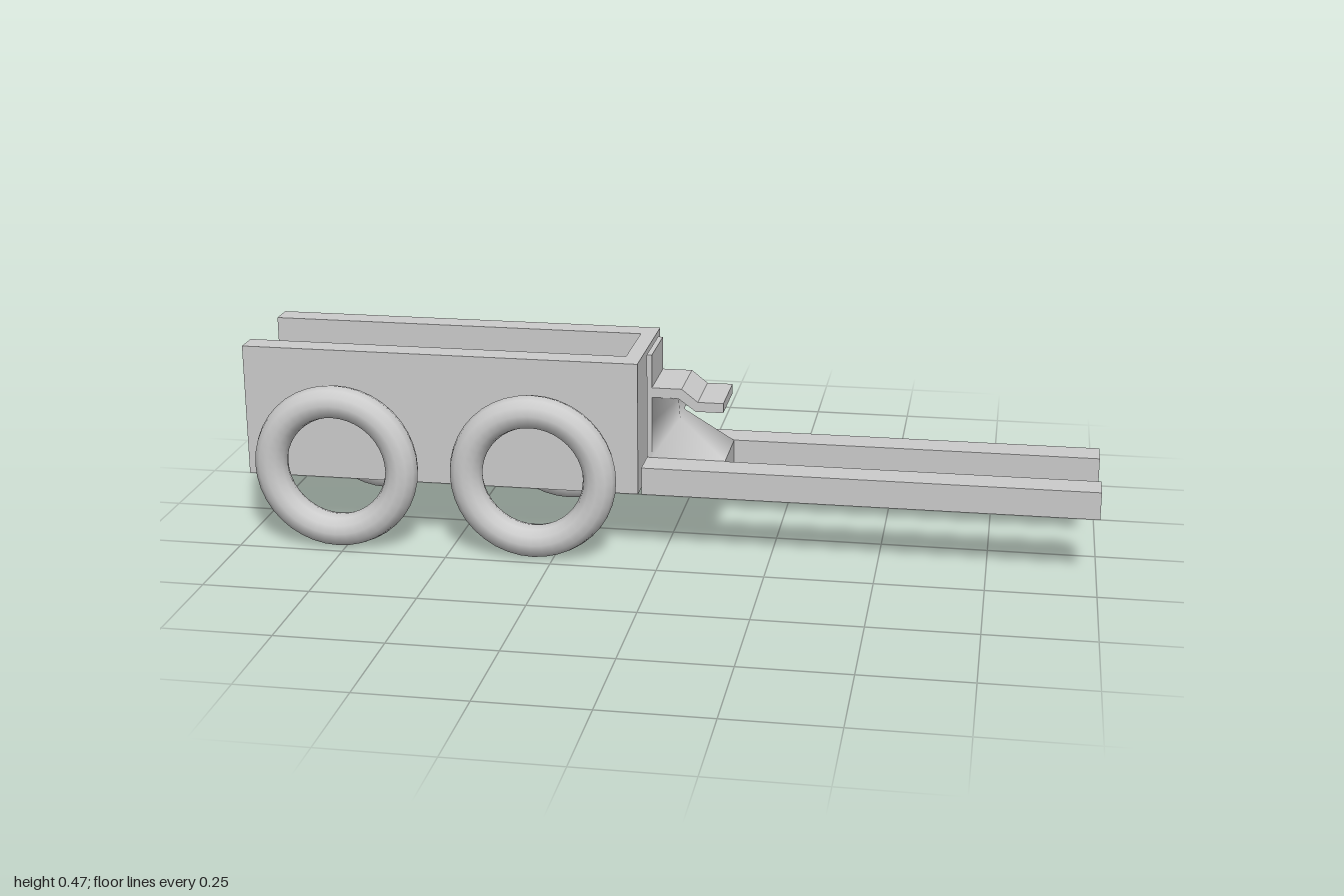
import * as THREE from 'three';

const material = new THREE.MeshStandardMaterial({ color: 0xcccccc });

function addMesh(parent, name, geometry) {
  const mesh = new THREE.Mesh(geometry, material);
  mesh.name = name;
  parent.add(mesh);
  return mesh;
}

function extrude(points, depth) {
  const shape = new THREE.Shape(points.map(([x, y]) => new THREE.Vector2(x, y)));
  return new THREE.ExtrudeGeometry(shape, { depth, bevelEnabled: false });
}

// Smooth loft through four-cornered sections: [y, back x, front x, back half width, front half width]
function loft(sections) {
  const positions = [], index = [];
  for (const [y, x0, x1, back, front] of sections) {
    positions.push(x0, y, back, x1, y, front, x1, y, -front, x0, y, -back);
  }
  for (let s = 0; s < sections.length - 1; s++) {
    for (let i = 0; i < 4; i++) {
      const a = s * 4 + i, b = s * 4 + (i + 1) % 4;
      index.push(a, b, b + 4, a, b + 4, a + 4);
    }
  }
  const geometry = new THREE.BufferGeometry();
  geometry.setAttribute('position', new THREE.Float32BufferAttribute(positions, 3));
  geometry.setIndex(index);
  geometry.computeVertexNormals();
  return geometry;
}

export function createModel() {
  const model = new THREE.Group();
  model.name = 'cart';

  // Open trough: U section along x, closed by a wall at the fork end
  const body = new THREE.Group();
  body.name = 'cartBody';
  model.add(body);
  const trough = extrude([
    [-0.157, 0.15], [0.157, 0.15], [0.157, 0.465], [0.097, 0.465],
    [0.097, 0.19], [-0.097, 0.19], [-0.097, 0.465], [-0.157, 0.465],
  ], 0.905);
  trough.rotateY(Math.PI / 2);
  addMesh(body, 'trough', trough).position.x = -1;
  addMesh(body, 'endWall', new THREE.BoxGeometry(0.037, 0.315, 0.314))
    .position.set(-0.0765, 0.3075, 0);

  // Four ring wheels
  const tyre = new THREE.TorusGeometry(0.158, 0.039, 12, 40);
  for (const x of [-0.768, -0.297]) {
    for (const side of [-1, 1]) {
      addMesh(model, 'wheel', tyre).position.set(x, 0.197, side * 0.206);
    }
  }

  // Base plate with two long prongs
  const fork = extrude([
    [-0.05, -0.157], [1, -0.157], [1, -0.08], [0.135, -0.08],
    [0.135, 0.08], [1, 0.08], [1, 0.157], [-0.05, 0.157],
  ], 0.065);
  fork.rotateX(-Math.PI / 2);
  addMesh(model, 'fork', fork).position.y = 0.15;

  // Seat with upright back and dropped front lip
  const seat = new THREE.Group();
  seat.name = 'seat';
  model.add(seat);
  addMesh(seat, 'backPlate', new THREE.BoxGeometry(0.012, 0.25, 0.157))
    .position.set(-0.044, 0.34, 0);
  addMesh(seat, 'seatPlate', extrude([
    [-0.038, 0.362], [0.025, 0.362], [0.065, 0.333], [0.13, 0.333],
    [0.13, 0.356], [0.07, 0.356], [0.032, 0.386], [-0.038, 0.386],
  ], 0.157)).position.z = -0.0785;
  addMesh(seat, 'pedestal', loft([
    [0.215, -0.038, 0.135, 0.0785, 0.0785],
    [0.302, -0.038, 0.022, 0.0785, 0.034],
    [0.363, -0.038, 0.025, 0.0785, 0.0785],
  ]));

  return model;
}
